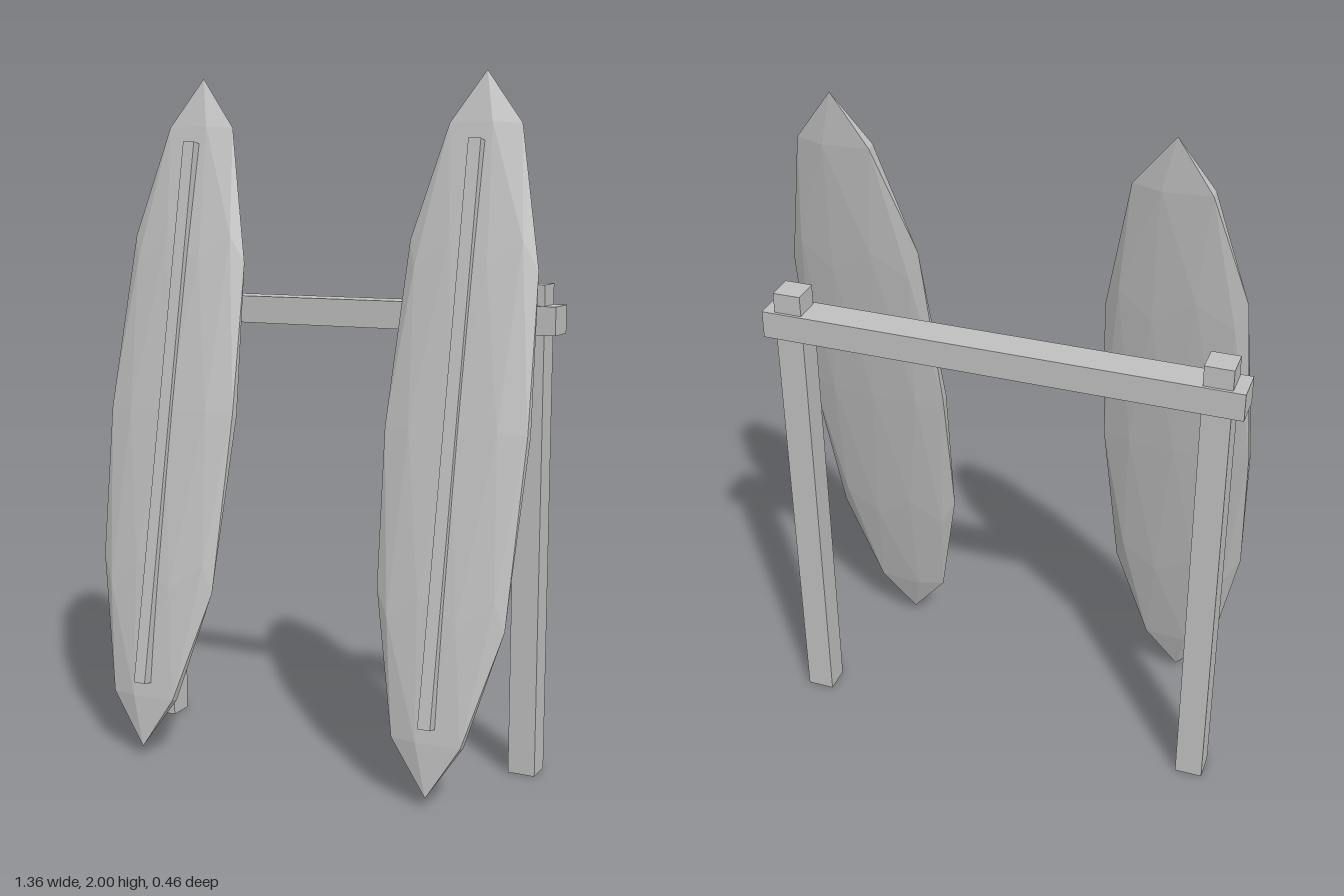
import * as THREE from 'three';

const TILT = -0.198;

export function createModel() {
  const model = new THREE.Group();
  model.name = 'boardRack';

  const grey = new THREE.MeshStandardMaterial({ color: 0xc0c0c0 });
  grey.name = 'plainGrey';

  const box = (name, w, h, d, x, y, z, parent = model) => {
    const mesh = new THREE.Mesh(new THREE.BoxGeometry(w, h, d), grey);
    mesh.name = name;
    mesh.position.set(x, y, z);
    parent.add(mesh);
  };

  // Board body: icosphere stood on one of its corners, then stretched and flattened
  const boardGeometry = new THREE.IcosahedronGeometry(1, 1);
  boardGeometry.rotateZ(-Math.atan(2 / (1 + Math.sqrt(5))));
  boardGeometry.scale(0.22, 1.005, 0.042);
  boardGeometry.computeVertexNormals(); // unshared corners give flat facets

  // Rack: crossbeam resting on two posts
  box('crossbeam', 1.36, 0.08, 0.097, 0, 1.315, -0.184);

  for (const [side, s] of [['left', 1], ['right', -1]]) {
    box(`${side}Post`, 0.08, 1.414, 0.08, s * 0.605, 0.707, -0.184);

    // Leaning board with a raised strip along its front
    const board = new THREE.Group();
    board.name = `${side}Board`;
    board.position.set(s * 0.454, 1.015, 0.018);
    board.rotation.x = TILT;
    const body = new THREE.Mesh(boardGeometry, grey);
    body.name = `${side}BoardBody`;
    board.add(body);
    box(`${side}BoardStrip`, 0.037, 1.615, 0.036, 0, -0.005, 0.037, board);
    model.add(board);
  }

  return model;
}
